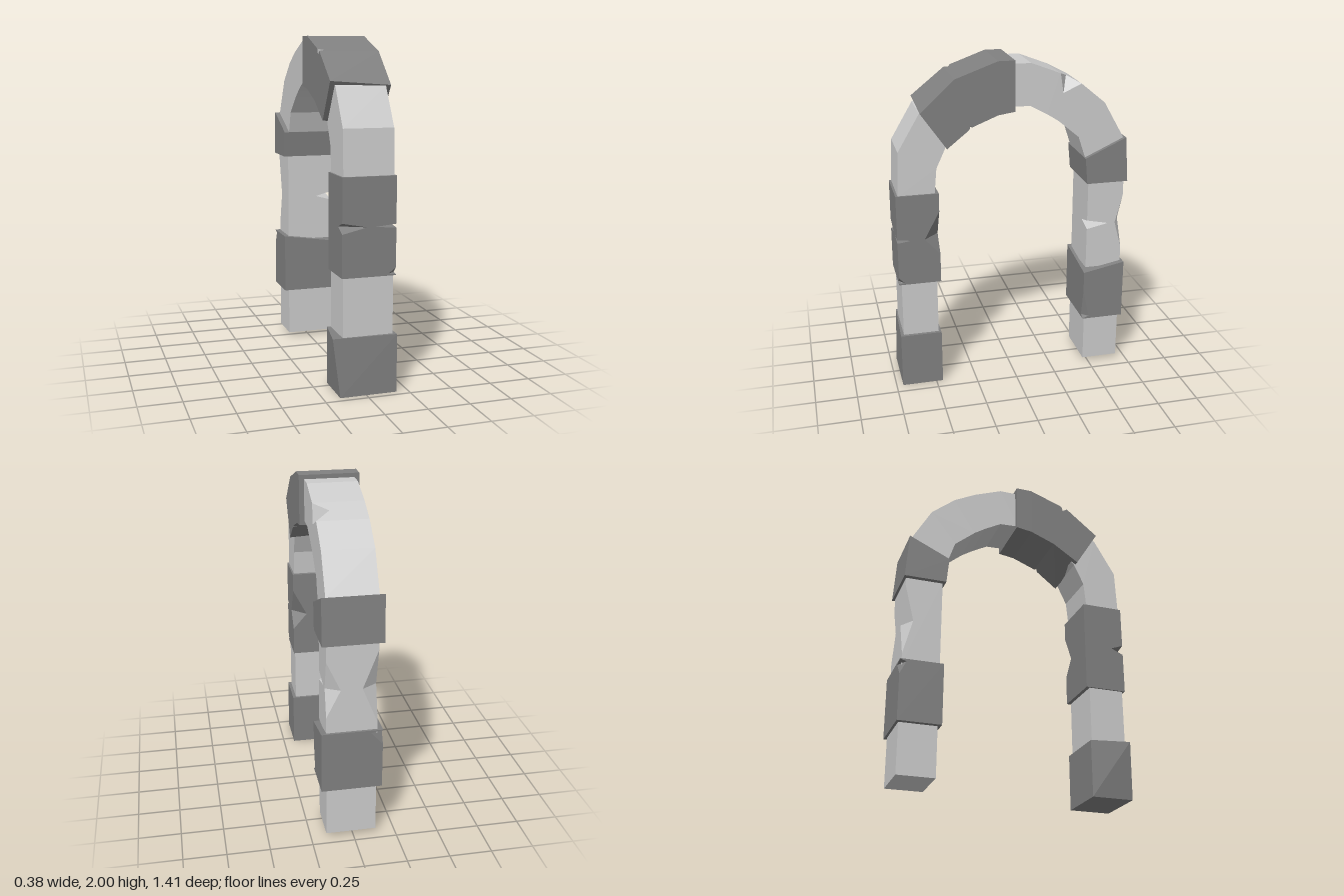
import * as THREE from 'three';

const light = new THREE.MeshStandardMaterial({ color: 0xcccccc, flatShading: true });
const dark = new THREE.MeshStandardMaterial({ color: 0x808080, flatShading: true });

// A stone lofted along the arch (front foot -> crown -> rear foot).
// rows: [outerZ, outerY, innerZ, innerY, {corner: [dx, dy, dz]}]
// corners: 0 = +x outer, 1 = +x inner, 2 = -x inner, 3 = -x outer
// chips: [segment, corner, start, tip, end, depth into previous face, depth into next face]
function stone(name, material, x0, x1, rows, chips = []) {
  const rings = rows.map(([oz, oy, iz, iy, nudge = {}]) =>
    [[x1, oy, oz], [x1, iy, iz], [x0, iy, iz], [x0, oy, oz]].map((p, k) =>
      new THREE.Vector3(...p).add(new THREE.Vector3(...(nudge[k] || [0, 0, 0])))));
  const pos = [];
  const tri = (...pts) => pts.forEach(p => pos.push(p.x, p.y, p.z));

  for (let s = 0; s < rings.length - 1; s++) {
    const lo = rings[s], hi = rings[s + 1];
    // point on side face k at (u across, v along)
    const at = (k, u, v) => {
      const a = k % 4, b = (k + 1) % 4;
      return lo[a].clone().lerp(lo[b], u).lerp(hi[a].clone().lerp(hi[b], u), v);
    };
    const onEdge = k => chips.filter(c => c[0] === s && c[1] === k % 4).sort((a, b) => a[2] - b[2]);

    for (let k = 0; k < 4; k++) {
      const outline = [[0, 0], [1, 0]];
      for (const [, , t0, tip, t1, prev] of onEdge(k + 1)) outline.push([1, t0], [1 - prev, tip], [1, t1]);
      outline.push([1, 1], [0, 1]);
      for (const [, , t0, tip, t1, , next] of onEdge(k).reverse()) outline.push([0, t1], [next, tip], [0, t0]);
      const uv = outline.map(p => new THREE.Vector2(...p));
      for (const f of THREE.ShapeUtils.triangulateShape(uv, [])) {
        tri(...f.map(i => at(k, uv[i].x, uv[i].y)));
      }
      // broken faces of each chip
      for (const [, , t0, tip, t1, prev, next] of onEdge(k)) {
        const p = at(k + 3, 1 - prev, tip), q = at(k, next, tip);
        tri(at(k, 0, t1), p, q);
        tri(at(k, 0, t0), q, p);
      }
    }
  }
  // end caps
  const [a, b, c, d] = rings[0], [e, f, g, h] = rings[rings.length - 1];
  tri(a, d, c); tri(a, c, b);
  tri(e, f, g); tri(e, g, h);

  const geometry = new THREE.BufferGeometry();
  geometry.setAttribute('position', new THREE.Float32BufferAttribute(pos, 3));
  geometry.computeVertexNormals();
  const mesh = new THREE.Mesh(geometry, material);
  mesh.name = name;
  return mesh;
}

export function createModel() {
  const arch = new THREE.Group();
  arch.name = 'stoneArch';
  const L = [-0.135, 0.16]; // width of the light stones

  arch.add(
    // front leg
    stone('frontBaseStone', dark, -0.155, 0.18, [
      [0.71, 0, 0.46, 0],
      [0.71, 0.34, 0.46, 0.34, { 3: [-0.04, 0, -0.015] }],
    ]),
    stone('frontLowerStone', light, ...L, [
      [0.69, 0.32, 0.475, 0.32], [0.69, 0.69, 0.475, 0.69],
    ]),
    stone('frontMiddleStone', dark, -0.145, 0.17, [
      [0.705, 0.68, 0.452, 0.68], [0.705, 1.24, 0.452, 1.24],
    ], [
      [0, 1, 0.32, 0.5, 0.8, 0.36, 0.28],
      [0, 3, 0.44, 0.5, 0.55, 0.3, 0.46],
      [0, 0, 0.48, 0.5, 0.52, 0.4, 0.33],
      [0, 0, 0.01, 0.02, 0.08, 0.14, 0.13],
    ]),
    stone('frontCurveStone', light, ...L, [
      [0.692, 1.23, 0.475, 1.23], [0.68, 1.5, 0.46, 1.39],
      [0.55, 1.72, 0.4, 1.52], [0.52, 1.74, 0.38, 1.54],
    ]),
    // crown
    stone('crownFrontStone', dark, -0.165, 0.19, [
      [0.55, 1.75, 0.4, 1.51, { 0: [0, -0.025, 0], 2: [0, 0.015, 0.01] }],
      [0.35, 1.91, 0.25, 1.63], [0.1, 2, 0.1, 1.69], [0, 2, 0, 1.705],
    ], [
      [1, 3, 0.01, 0.08, 0.16, 0.1, 0.1],
      [0, 1, 0.88, 0.95, 0.99, 0.05, 0.1],
    ]),
    stone('crownRearStone', light, ...L, [
      [0.02, 1.975, 0.02, 1.73], [-0.1, 1.975, -0.1, 1.725],
      [-0.275, 1.908, -0.2, 1.67], [-0.405, 1.84, -0.27, 1.625],
      [-0.55, 1.72, -0.395, 1.52], [-0.675, 1.5, -0.44, 1.385], [-0.68, 1.47, -0.445, 1.36],
    ], [[2, 0, 0.01, 0.45, 0.99, 0.29, 0.38]]),
    // rear leg
    stone('rearUpperStone', dark, -0.165, 0.185, [
      [-0.685, 1.505, -0.435, 1.39], [-0.705, 1.23, -0.45, 1.23],
    ]),
    stone('rearMiddleStone', light, ...L, [
      [-0.69, 1.24, -0.465, 1.24], [-0.69, 0.67, -0.465, 0.67],
    ], [
      [0, 1, 0.45, 0.5, 0.55, 0.6, 0.36],
      [0, 0, 0.19, 0.5, 0.79, 0.28, 0.2],
      [0, 3, 0.1, 0.5, 0.88, 0.25, 0.3],
    ]),
    stone('rearLowerStone', dark, -0.165, 0.19, [
      [-0.705, 0.695, -0.447, 0.695, { 1: [0, -0.05, 0] }],
      [-0.705, 0.325, -0.447, 0.325],
    ], [
      [0, 1, 0.4, 0.95, 0.99, 0.15, 0.1],
      [0, 3, 0.01, 0.04, 0.25, 0.15, 0.2],
    ]),
    stone('rearBaseStone', light, ...L, [
      [-0.69, 0.34, -0.465, 0.34], [-0.69, 0.025, -0.465, 0.025],
    ]),
  );
  return arch;
}
